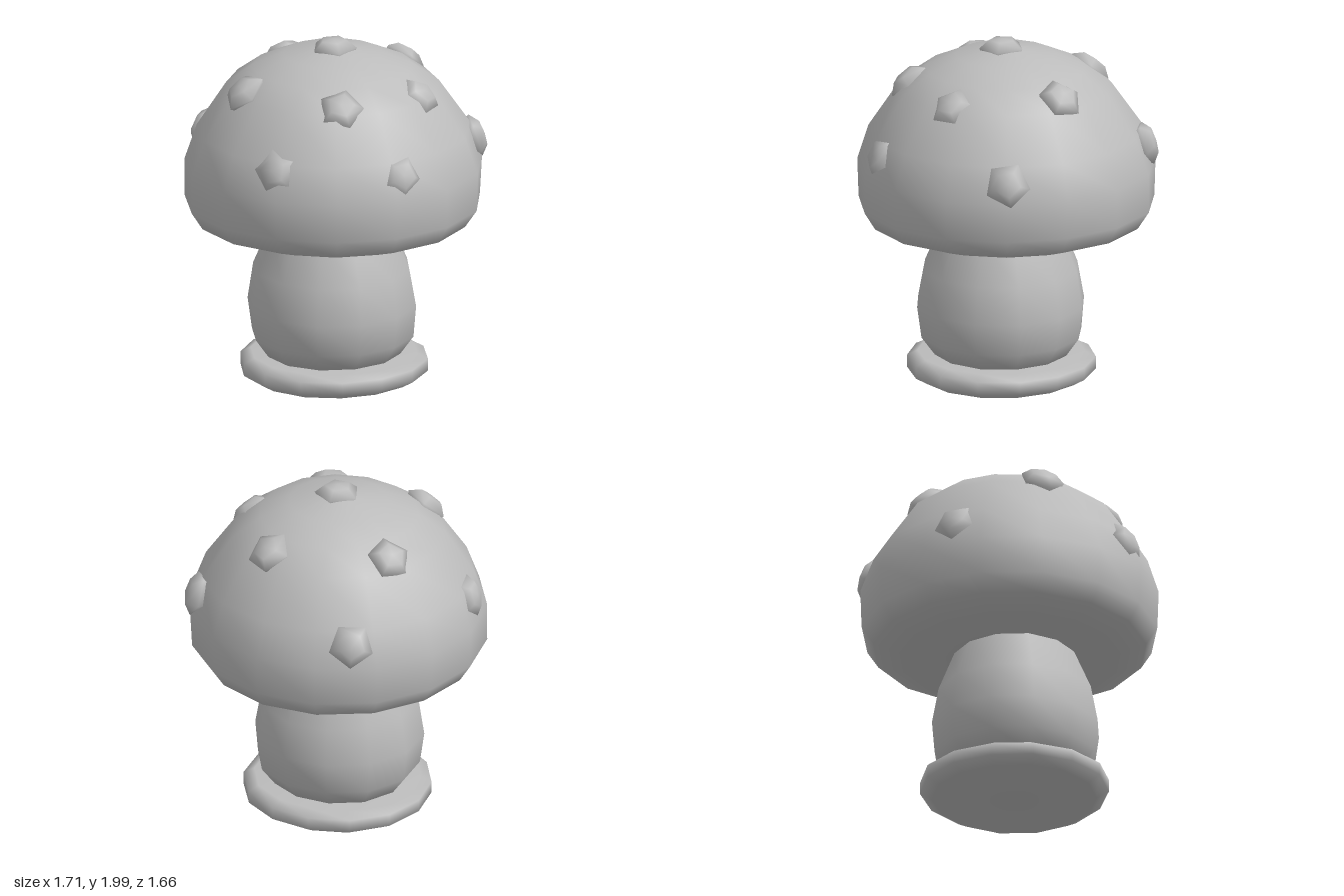
import * as THREE from 'three';
import { mergeVertices } from 'three/addons/utils/BufferGeometryUtils.js';

const grey = new THREE.MeshStandardMaterial({ color: 0xbcbcbc });
grey.name = 'plain grey';

// Smooth low-poly turned form; wobble makes it look hand shaped
function turned(name, profile, sides, wobble = 0, phase = 0) {
  let geo = new THREE.LatheGeometry(profile.map(([r, y]) => new THREE.Vector2(r, y)), sides, phase);
  geo.deleteAttribute('uv');
  geo.deleteAttribute('normal');
  geo = mergeVertices(geo, 1e-4);
  const p = geo.attributes.position;
  for (let i = 0; i < p.count; i++) {
    const x = p.getX(i), y = p.getY(i), z = p.getZ(i);
    const a = Math.atan2(z, x);
    const s = 1 + wobble * Math.sin(3 * a + 5 * y + phase);
    p.setXYZ(i, x * s, y, z * s);
  }
  geo.computeVertexNormals();
  const mesh = new THREE.Mesh(geo, grey);
  mesh.name = name;
  return mesh;
}

export function createModel() {
  const group = new THREE.Group();
  group.name = 'mushroom';

  // Flat foot disc
  const foot = turned('foot', [
    [0, 0.01], [0.46, 0.025], [0.53, 0.065], [0.53, 0.135], [0.47, 0.165], [0, 0.17],
  ], 14, 0.012, 0.3);
  foot.position.set(-0.015, 0, 0.025);
  group.add(foot);

  // Bulging stem
  const stem = turned('stem', [
    [0, 0.14], [0.38, 0.16], [0.46, 0.27], [0.48, 0.45], [0.445, 0.66], [0.35, 0.89], [0.3, 1.0], [0, 1.0],
  ], 12, 0.012, 0.1);
  stem.position.set(-0.02, 0, 0.025);
  group.add(stem);

  // Domed cap with a flat underside
  const cap = turned('cap', [
    [0, 0.9], [0.3, 0.89], [0.58, 0.885], [0.77, 0.95], [0.835, 1.05], [0.84, 1.27],
    [0.77, 1.47], [0.6, 1.72], [0.45, 1.83], [0.28, 1.905], [0.07, 1.945], [0, 1.945],
  ], 15, 0.008, 0.2);
  cap.position.x = -0.01;
  group.add(cap);

  // Five-sided bumps: x, y, z, how far each is sunk into the cap
  const spots = [
    [-0.01, 1.94, 0.02, 0], [0.46, 1.77, -0.25, 0], [-0.55, 1.75, 0.11, 0],
    [-0.17, 1.77, -0.5, 0.01], [-0.1, 1.75, 0.54, 0.01], [0.41, 1.74, 0.36, 0.02],
    [-0.5, 1.43, 0.6, 0.02], [0.2, 1.4, 0.76, 0.035], [0.79, 1.38, 0.09, 0],
    [0.13, 1.4, -0.78, 0.005], [-0.67, 1.41, -0.4, 0.015],
  ];
  const up = new THREE.Vector3(0, 1, 0);
  spots.forEach(([x, y, z, sunk], i) => {
    const bump = turned('capSpot' + (i + 1), [
      [0, -0.08], [0.1, -0.05], [0.13, 0.005], [0.075, 0.05], [0, 0.057],
    ], 5, 0, i * 1.3);
    const out = new THREE.Vector3(x, y - 1.12, z).normalize();
    bump.quaternion.setFromUnitVectors(up, out);
    bump.position.set(x, y, z).addScaledVector(out, -sunk);
    group.add(bump);
  });

  return group;
}
